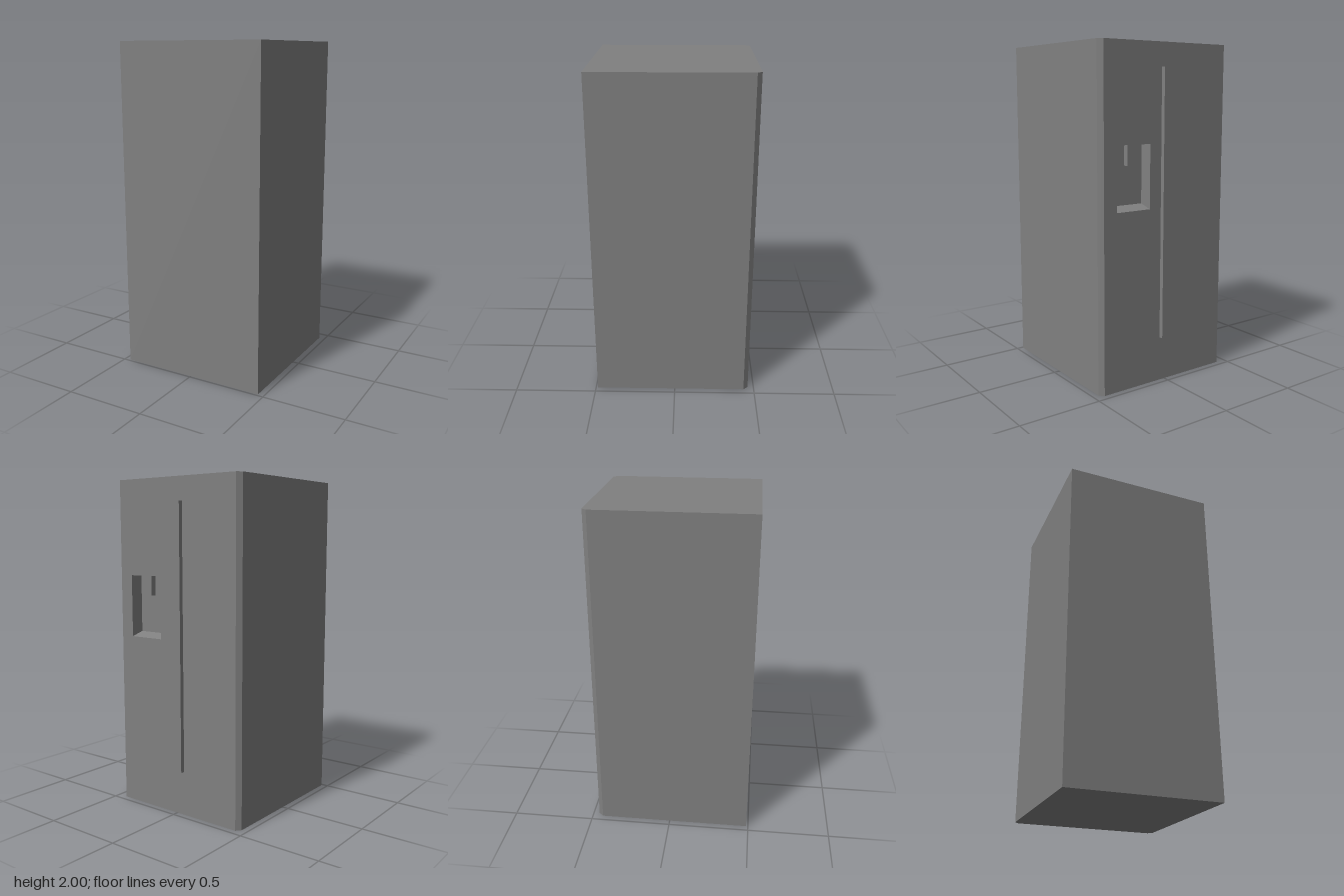
import * as THREE from 'three';

const HEIGHT = 2, DOOR_Z = -0.463, RECESS_Z = -0.38;

// Flat-faced geometry from convex polygons, corners counter-clockwise from outside
function facesGeometry(faces) {
  const positions = [];
  for (const f of faces) {
    for (let i = 1; i < f.length - 1; i++) positions.push(...f[0], ...f[i], ...f[i + 1]);
  }
  const geometry = new THREE.BufferGeometry();
  geometry.setAttribute('position', new THREE.Float32BufferAttribute(positions, 3));
  geometry.computeVertexNormals();
  return geometry;
}

// Ring of quads joining two loops with the same number of corners
function bridge(a, b) {
  return a.map((p, i) => {
    const j = (i + 1) % a.length;
    return [p, a[j], b[j], b[i]];
  });
}

// Rectangle on the door side, counter-clockwise as seen from -z
function doorRect(x0, x1, y0, y1, z) {
  return [[x1, y0, z], [x0, y0, z], [x0, y1, z], [x1, y1, z]];
}

export function createModel() {
  const model = new THREE.Group();
  model.name = 'refrigerator';
  const grey = new THREE.MeshStandardMaterial({ color: 0x808080 });
  grey.name = 'grey';

  function add(name, geometry) {
    const mesh = new THREE.Mesh(geometry, grey);
    mesh.name = name;
    model.add(mesh);
    return mesh;
  }

  function addBox(name, x0, x1, y0, y1, z0, z1) {
    add(name, new THREE.BoxGeometry(x1 - x0, y1 - y0, z1 - z0))
      .position.set((x0 + x1) / 2, (y0 + y1) / 2, (z0 + z1) / 2);
  }

  // Cabinet: plan outline with the two door corners chamfered, open at the door
  const outline = [
    [0.462, 0.488], [0.462, -0.435], [0.437, DOOR_Z],
    [-0.437, DOOR_Z], [-0.462, -0.435], [-0.462, 0.488],
  ];
  const bottom = outline.map(([x, z]) => [x, 0, z]);
  const top = outline.map(([x, z]) => [x, HEIGHT, z]);
  const walls = bridge(bottom, top).filter((_, i) => i !== 2);
  add('cabinet', facesGeometry([top, [...bottom].reverse(), ...walls]));

  // Door face, framing the dispenser opening
  const rim = doorRect(0.118, 0.351, 1.055, 1.43, DOOR_Z);
  const door = doorRect(-0.437, 0.437, 0, HEIGHT, DOOR_Z);
  add('doorFace', facesGeometry(bridge(door, rim)));

  // Dispenser recess with a floor that rises towards the back wall
  const inner = doorRect(0.118, 0.351, 1.079, 1.43, RECESS_Z);
  add('dispenserRecess', facesGeometry([...bridge(rim, inner), inner]));

  // Nozzle hanging from the recess ceiling
  addBox('dispenserNozzle', 0.212, 0.258, 1.31, 1.43, -0.437, -0.403);

  // Long vertical door handle
  addBox('doorHandle', -0.056, 0.038, 0.268, 1.862, -0.489, DOOR_Z);

  return model;
}
